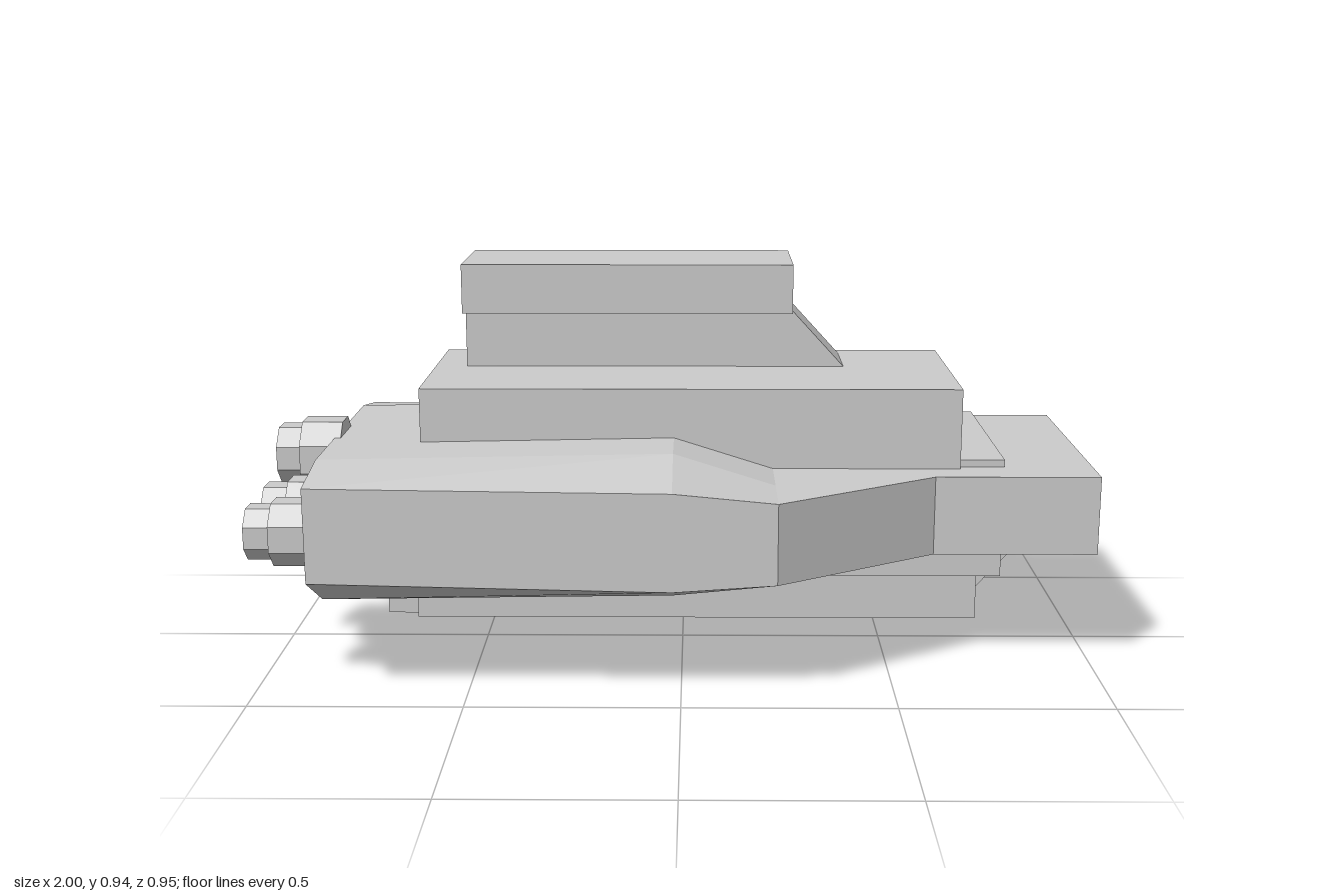
import * as THREE from 'three';

const material = new THREE.MeshStandardMaterial({ color: 0xcccccc, flatShading: true });

export function createModel() {
  const model = new THREE.Group();

  const add = (name, geometry) => {
    const mesh = new THREE.Mesh(geometry, material);
    mesh.name = name;
    model.add(mesh);
    return mesh;
  };

  // Box given by its extents on each axis
  const box = (name, [x0, x1], [y0, y1], [z0, z1]) =>
    add(name, new THREE.BoxGeometry(x1 - x0, y1 - y0, z1 - z0))
      .position.set((x0 + x1) / 2, (y0 + y1) / 2, (z0 + z1) / 2);

  // Side profile in x and y, extruded from z0 to z1
  const slab = (name, points, z0, z1) => {
    const shape = new THREE.Shape(points.map(([x, y]) => new THREE.Vector2(x, y)));
    const geometry = new THREE.ExtrudeGeometry(shape, { depth: z1 - z0, bevelEnabled: false });
    add(name, geometry.translate(0, 0, z0));
  };

  add('hull', hullGeometry());

  // Stacked decks above and below the hull
  box('middleDeck', [-0.785, 0.785], [0.2, 0.495], [-0.437, 0.122]);
  box('upperDeck', [-0.635, 0.675], [0.45, 0.673], [-0.393, 0.141]);
  box('lowerDeck', [-0.667, 0.735], [0.072, 0.22], [-0.386, 0.069]);

  // Bridge on its sloped neck, and the keel fin below
  slab('bridgeNeck', [[-0.555, 0.66], [0.41, 0.66], [0.41, 0.673], [0.275, 0.82], [-0.555, 0.82]], -0.355, -0.156);
  box('bridge', [-0.555, 0.275], [0.82, 0.943], [-0.382, -0.085]);
  slab('keel', [[-0.785, 0], [0.705, 0], [0.96, 0.285], [0.96, 0.3], [-0.785, 0.3]], -0.277, -0.176);

  // Engine cluster at the tail: y, z, radius
  const engines = [
    [0.385, -0.348, 0.08], [0.38, -0.172, 0.092], [0.485, 0.015, 0.092],
    [0.267, 0.015, 0.092], [0.38, 0.202, 0.092], [0.385, 0.383, 0.08],
  ];
  for (const [y, z, radius] of engines) {
    const ring = (name, r, x0, x1) => {
      const geometry = new THREE.CylinderGeometry(r, r, x1 - x0, 8);
      geometry.rotateY(Math.PI / 8).rotateZ(Math.PI / 2);
      add(name, geometry).position.set((x0 + x1) / 2, y, z);
    };
    ring('engineHousing', radius, -0.94, -0.84);
    ring('engineNozzle', radius * 0.82, -1, -0.93);
  }
  return model;
}

// Hull lofted through eight-sided cross-sections along x
function hullGeometry() {
  // x, front edge z, front shoulder z, top, upper edge, lower edge, bottom
  const stations = [
    [-0.855, 0.473, 0.305, 0.537, 0.51, 0.286, 0.195],
    [-0.02, 0.473, 0.305, 0.553, 0.5, 0.268, 0.207],
    [0.22, 0.473, 0.305, 0.477, 0.477, 0.285, 0.285],
    [0.605, 0.221, 0.1, 0.477, 0.477, 0.285, 0.285],
    [1, 0.221, 0.1, 0.477, 0.477, 0.285, 0.285],
  ];
  const backEdge = -0.475, backShoulder = -0.305;
  const positions = [], index = [], n = 8;
  for (const [x, edge, shoulder, top, upper, lower, bottom] of stations) {
    const section = [
      [upper, edge], [top, shoulder], [top, backShoulder], [upper, backEdge],
      [lower, backEdge], [bottom, backShoulder], [bottom, shoulder], [lower, edge],
    ];
    for (const [y, z] of section) positions.push(x, y, z);
  }
  for (let s = 0; s < stations.length - 1; s++) {
    for (let i = 0; i < n; i++) {
      const a = s * n + i, d = s * n + (i + 1) % n;
      index.push(a, a + n, d + n, a, d + n, d);
    }
  }
  // End caps
  const last = (stations.length - 1) * n;
  for (let i = 1; i < n - 1; i++) {
    index.push(0, i, i + 1, last, last + i + 1, last + i);
  }
  const geometry = new THREE.BufferGeometry();
  geometry.setAttribute('position', new THREE.Float32BufferAttribute(positions, 3));
  geometry.setIndex(index);
  const flat = geometry.toNonIndexed();
  flat.computeVertexNormals();
  return flat;
}
